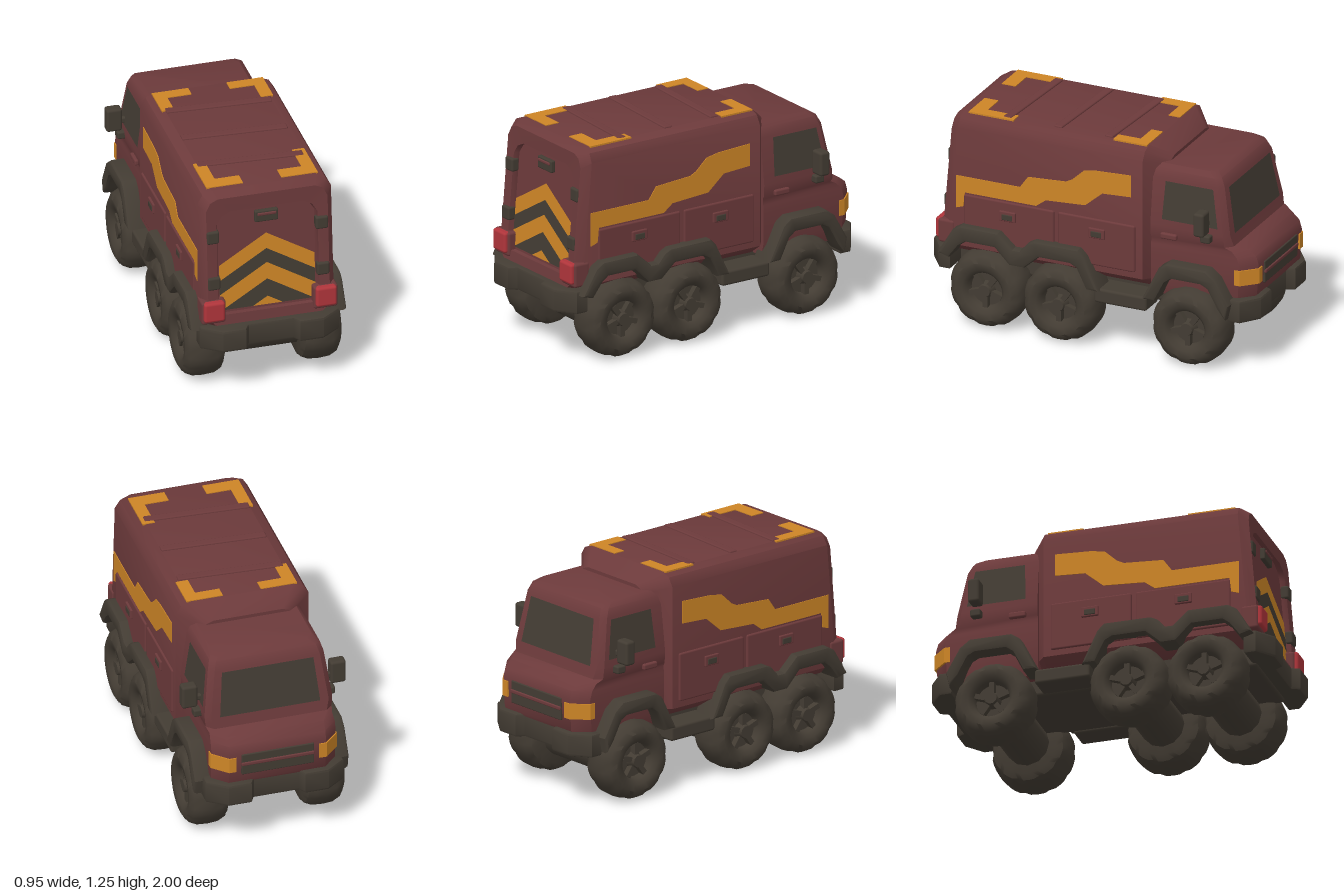
import * as THREE from 'three';
import { toCreasedNormals } from 'three/addons/utils/BufferGeometryUtils.js';
import { RoundedBoxGeometry } from 'three/addons/geometries/RoundedBoxGeometry.js';

const material = (name, color, side = THREE.FrontSide) => {
  const m = new THREE.MeshStandardMaterial({ color, side });
  m.name = name;
  return m;
};

// Skin closed rings of [x, y, z] points, cap both ends and face outward.
function loft(rings) {
  const n = rings[0].length, tris = [];
  for (let i = 0; i < rings.length - 1; i++) {
    for (let j = 0; j < n; j++) {
      const k = (j + 1) % n, [a, b] = [rings[i], rings[i + 1]];
      tris.push([a[j], a[k], b[k]], [a[j], b[k], b[j]]);
    }
  }
  const first = rings[0], last = rings[rings.length - 1];
  for (let j = 1; j < n - 1; j++) {
    tris.push([first[0], first[j + 1], first[j]], [last[0], last[j], last[j + 1]]);
  }
  let volume = 0;
  for (const [a, b, c] of tris) {
    volume += new THREE.Vector3(...a).dot(new THREE.Vector3(...b).cross(new THREE.Vector3(...c)));
  }
  if (volume < 0) tris.forEach(t => t.reverse());
  const g = new THREE.BufferGeometry();
  g.setAttribute('position', new THREE.Float32BufferAttribute(tris.flat(2), 3));
  return toCreasedNormals(g, 0.65);
}

const mirrorX = half => [...half, ...half.map(([x, ...r]) => [-x, ...r]).reverse()];

// Extrude an outline symmetrically about its own plane.
function slab(points, depth, bevel) {
  const shape = new THREE.Shape(points.map(p => new THREE.Vector2(...p)));
  const g = new THREE.ExtrudeGeometry(shape, {
    depth: depth - 2 * bevel, bevelEnabled: bevel > 0, bevelSize: bevel,
    bevelThickness: bevel, bevelOffset: -bevel, bevelSegments: 2,
  });
  return toCreasedNormals(g.translate(0, 0, -depth / 2 + bevel), 0.65);
}
const sideSlab = (zy, depth, bevel = 0) => slab(zy, depth, bevel).rotateY(-Math.PI / 2);
const planSlab = (xz, depth, bevel = 0) => slab(xz, depth, bevel).rotateX(Math.PI / 2);

export function createModel() {
  const root = new THREE.Group();
  root.name = 'utilityTruck';
  const maroon = material('maroonPaint', 0x6c3a3b);
  const dark = material('darkRubber', 0x433c33, THREE.DoubleSide);
  const orange = material('orangeMarking', 0xcd8526, THREE.DoubleSide);
  const red = material('redLamp', 0xb0353b);

  const add = (name, geometry, mat, x = 0, y = 0, z = 0, parent = root) => {
    const mesh = new THREE.Mesh(geometry, mat);
    mesh.name = name;
    mesh.position.set(x, y, z);
    parent.add(mesh);
    return mesh;
  };
  const box = (name, mat, w, h, d, x, y, z, r = 0.01) =>
    add(name, new RoundedBoxGeometry(w, h, d, 2, Math.min(r, w / 2.1, h / 2.1, d / 2.1)), mat, x, y, z);
  const quad = (name, mat, p) => {
    const g = new THREE.BufferGeometry();
    g.setAttribute('position', new THREE.Float32BufferAttribute([p[0], p[1], p[2], p[0], p[2], p[3]].flat(), 3));
    g.computeVertexNormals();
    return add(name, g, mat);
  };

  // Rear body, ending in a sloped back with a recessed door
  const section = [[0.30, 0.40], [0.385, 0.46], [0.385, 1.17], [0.355, 1.22], [0.30, 1.24]];
  const rim = [[0.29, 0.43], [0.35, 0.48], [0.35, 1.14], [0.325, 1.19], [0.28, 1.21]];
  const door = [[0.25, 0.50], [0.28, 0.51], [0.28, 1.05], [0.25, 1.10], [0.20, 1.125]];
  const frontEnd = [[0.20, 0.41], [0.25, 0.46], [0.25, 1.12], [0.24, 1.15], [0.20, 1.165]];
  const lean = y => -0.085 * (y - 0.6);
  const ring = (half, z, slope = 0) => mirrorX(half.map(([x, y]) => [x, y, z + slope * lean(y)]));
  add('rearBody', loft([
    ring(frontEnd, -0.43), ring(section, -0.32), ring(section, 0.86, 1),
    ring(rim, 0.91, 1), ring(door.map(([x, y]) => [x * 1.04, y]), 0.905, 1), ring(door, 0.875, 1),
  ]), maroon);

  // Cab, as plan rings stacked upward
  const cab = [
    [0.38, 0.34, -0.92, 0.06], [0.45, 0.36, -0.97, 0.08], [0.63, 0.36, -0.98, 0.08],
    [0.68, 0.36, -0.965, 0.08], [0.715, 0.355, -0.92, 0.07], [0.735, 0.365, -0.85, 0.04],
    [0.80, 0.37, -0.835, 0.03], [1.07, 0.335, -0.785, 0.03], [1.12, 0.32, -0.76, 0.03], [1.145, 0.29, -0.72, 0.04],
  ];
  add('cab', loft(cab.map(([y, w, f, c]) => mirrorX([[w, y, -0.36], [w, y, f + c], [w - c, y, f]]))), maroon);

  // Windscreen, grille
  quad('windscreen', dark, [[-0.29, 0.80, -0.840], [0.29, 0.80, -0.840], [0.265, 1.06, -0.792], [-0.265, 1.06, -0.792]]);
  box('grille', dark, 0.42, 0.13, 0.02, 0, 0.56, -0.977, 0.006);
  box('grilleBar', maroon, 0.42, 0.022, 0.02, 0, 0.565, -0.984, 0.006);

  // Chassis and bumpers
  box('chassis', dark, 0.52, 0.16, 1.74, 0, 0.37, 0.01, 0.02);
  for (const s of [-1, 1]) {
    const outline = mirrorX([[0.13, 0.955], [0.155, 1.0], [0.29, 1.0], [0.40, 0.92], [0.40, 0.85]]);
    add(s > 0 ? 'rearBumper' : 'frontBumper',
      planSlab(outline.map(([x, z]) => [x, s * z]), 0.135, 0.015), dark, 0, 0.375, 0);
  }

  // Wheels with notched shoulders and five-spoke hubs
  const tyreProfile = [[0, -0.11], [0.17, -0.115], [0.205, -0.1], [0.224, -0.06], [0.228, 0], [0.224, 0.055],
    [0.205, 0.095], [0.17, 0.115], [0.13, 0.11], [0.105, 0.085], [0.098, 0.05], [0, 0.05]];
  const tyre = new THREE.LatheGeometry(tyreProfile.map(p => new THREE.Vector2(...p)), 40);
  const tp = tyre.attributes.position;
  for (let i = 0; i < tp.count; i++) {
    const seg = Math.floor(i / tyreProfile.length), r = Math.hypot(tp.getX(i), tp.getZ(i));
    if (r > 0.2 && Math.abs(tp.getY(i)) > 0.04 && seg % 4 === 0) {
      tp.setXYZ(i, tp.getX(i) * 0.965, tp.getY(i), tp.getZ(i) * 0.965);
    }
  }
  const tyreGeo = toCreasedNormals(tyre, 0.7);
  for (const z of [-0.61, 0.177, 0.627]) {
    add('axle', new THREE.CylinderGeometry(0.125, 0.125, 0.46, 12).rotateZ(Math.PI / 2), dark, 0, 0.235, z);
    for (const s of [-1, 1]) {
      const wheel = new THREE.Group();
      wheel.name = 'wheel';
      wheel.position.set(s * 0.335, 0.232, z);
      wheel.rotation.z = -s * Math.PI / 2;
      root.add(wheel);
      add('tyre', tyreGeo, dark, 0, 0, 0, wheel);
      add('hub', new THREE.CylinderGeometry(0.035, 0.05, 0.05, 10), dark, 0, 0.075, 0, wheel);
      for (let i = 0; i < 5; i++) {
        const a = i * Math.PI * 0.4;
        const spoke = add('spoke', new THREE.BoxGeometry(0.07, 0.035, 0.03), dark,
          Math.cos(a) * 0.068, 0.067, -Math.sin(a) * 0.068, wheel);
        spoke.rotation.y = a;
      }
    }
  }

  // Outlines in z and y for the side parts
  const frontArch = [[-0.34, 0.37], [-0.44, 0.57], [-0.49, 0.605], [-0.73, 0.605], [-0.79, 0.56], [-0.87, 0.42],
    [-0.85, 0.33], [-0.80, 0.39], [-0.74, 0.50], [-0.70, 0.52], [-0.52, 0.52], [-0.48, 0.49], [-0.42, 0.37]];
  const rearArch = [[0.91, 0.42], [0.82, 0.57], [0.77, 0.60], [0.54, 0.60], [0.45, 0.52], [0.405, 0.52], [0.36, 0.57],
    [0.32, 0.59], [0.05, 0.59], [0.01, 0.55], [-0.08, 0.36], [0, 0.36], [0.06, 0.48], [0.10, 0.50], [0.29, 0.50],
    [0.38, 0.42], [0.47, 0.42], [0.56, 0.51], [0.74, 0.51], [0.78, 0.48], [0.84, 0.40]];
  const stripe = [[0.82, 0.88], [0.43, 0.88], [0.38, 0.95], [0.15, 0.965], [0.11, 0.985], [0.04, 1.05], [-0.04, 1.065],
    [-0.25, 1.075], [-0.25, 0.945], [-0.075, 0.935], [0.03, 0.845], [0.27, 0.83], [0.33, 0.785], [0.765, 0.785],
    [0.775, 0.70], [0.82, 0.685]];
  const headlight = [[0.24, -0.986], [0.283, -0.986], [0.366, -0.903], [0.366, -0.87], [0.35, -0.87], [0.27, -0.96], [0.24, -0.965]];

  for (const s of [-1, 1]) {
    // Wheel arches, steps and markings
    add('frontFender', sideSlab(frontArch, 0.16, 0.02), dark, s * 0.37, 0, 0);
    add('rearFender', sideSlab(rearArch, 0.16, 0.02), dark, s * 0.37, 0, 0);
    box('sideStep', dark, 0.16, 0.085, 0.32, s * 0.345, 0.33, -0.20, 0.015);
    add('sideStripe', sideSlab(stripe, 0.006), orange, s * 0.386, 0, 0);

    // Lockers with latches
    for (const [z, d, latchZ] of [[0.495, 0.55, 0.50], [-0.04, 0.47, -0.045]]) {
      box('locker', maroon, 0.03, 0.28, d, s * 0.38, 0.635, z, 0.01);
      box('latchFrame', maroon, 0.025, 0.06, 0.10, s * 0.394, 0.692, latchZ, 0.006);
      box('latch', dark, 0.02, 0.035, 0.065, s * 0.40, 0.688, latchZ, 0.005);
    }

    // Cab side details
    const wx = y => s * (0.374 - 0.13 * (y - 0.8));
    quad('sideWindow', dark, [[wx(0.84), 0.84, -0.43], [wx(0.84), 0.84, -0.77], [wx(1.06), 1.06, -0.73], [wx(1.06), 1.06, -0.44]]);
    box('doorHandle', maroon, 0.03, 0.035, 0.10, s * 0.37, 0.745, -0.475);
    box('sideLamp', dark, 0.06, 0.045, 0.06, s * 0.38, 0.78, -0.71);
    box('mirrorArm', dark, 0.08, 0.035, 0.03, s * 0.375, 0.87, -0.705);
    box('mirror', dark, 0.09, 0.14, 0.065, s * 0.43, 0.888, -0.70, 0.015);
    add('headlight', planSlab(headlight.map(([x, z]) => [s * x, z]), 0.09), orange, 0, 0.565, 0);

    // Tail lamps and door hinges
    box('lampHousing', maroon, 0.14, 0.14, 0.10, s * 0.322, 0.53, 0.88, 0.015);
    box('tailLamp', red, 0.12, 0.12, 0.05, s * 0.322, 0.54, 0.925, 0.015);
    for (const y of [0.70, 0.98]) box('hinge', dark, 0.072, 0.078, 0.05, s * 0.314, y, 0.895 + lean(y), 0.012);

    // Roof corner markings
    for (const [a, b, c] of [[-0.315, -0.245, -0.11], [0.775, 0.69, 0.50]]) {
      const corner = [[0.32, a], [0.11, a], [0.11, b], [0.25, b], [0.25, c], [0.32, c]];
      add('roofCorner', planSlab(corner.map(([x, z]) => [s * x, z]), 0.009), orange, 0, 1.24, 0);
    }
  }

  // Roof ribs, set slightly askew
  for (const z of [-0.09, 0.22, 0.53]) {
    box('roofRib', maroon, 0.60, 0.02, 0.05, 0, 1.24, z, 0.008).rotation.y = -0.06;
  }

  // Chevrons and handle on the rear door
  const slope = 0.59, floor = 0.515;
  const bands = [[0.95, 0.855], [0.855, 0.77], [0.77, 0.67], [0.67, 0.565], [0.565, 0.4]];
  bands.forEach(([top, bottom], i) => {
    const x = Math.min(0.275, (top - floor) / slope);
    const half = [[0, top], [x, top - slope * x], [x, Math.max(bottom - slope * x, floor)]];
    if (bottom > floor && bottom - slope * x < floor) half.push([(bottom - floor) / slope, floor]);
    half.push([0, Math.max(bottom, floor)]);
    const outline = [...half, ...half.slice(1, -1).map(([px, py]) => [-px, py]).reverse()];
    const g = new THREE.ShapeGeometry(new THREE.Shape(outline.map(p => new THREE.Vector2(...p))));
    const p = g.attributes.position;
    for (let k = 0; k < p.count; k++) p.setZ(k, 0.88 + lean(p.getY(k)));
    g.computeVertexNormals();
    add('chevron', g, i % 2 ? dark : orange);
  });
  box('doorHandleFrame', dark, 0.135, 0.07, 0.03, 0, 1.065, 0.85, 0.008);
  box('doorHandleGrip', maroon, 0.11, 0.018, 0.03, 0, 1.08, 0.856, 0.006);

  return root;
}
